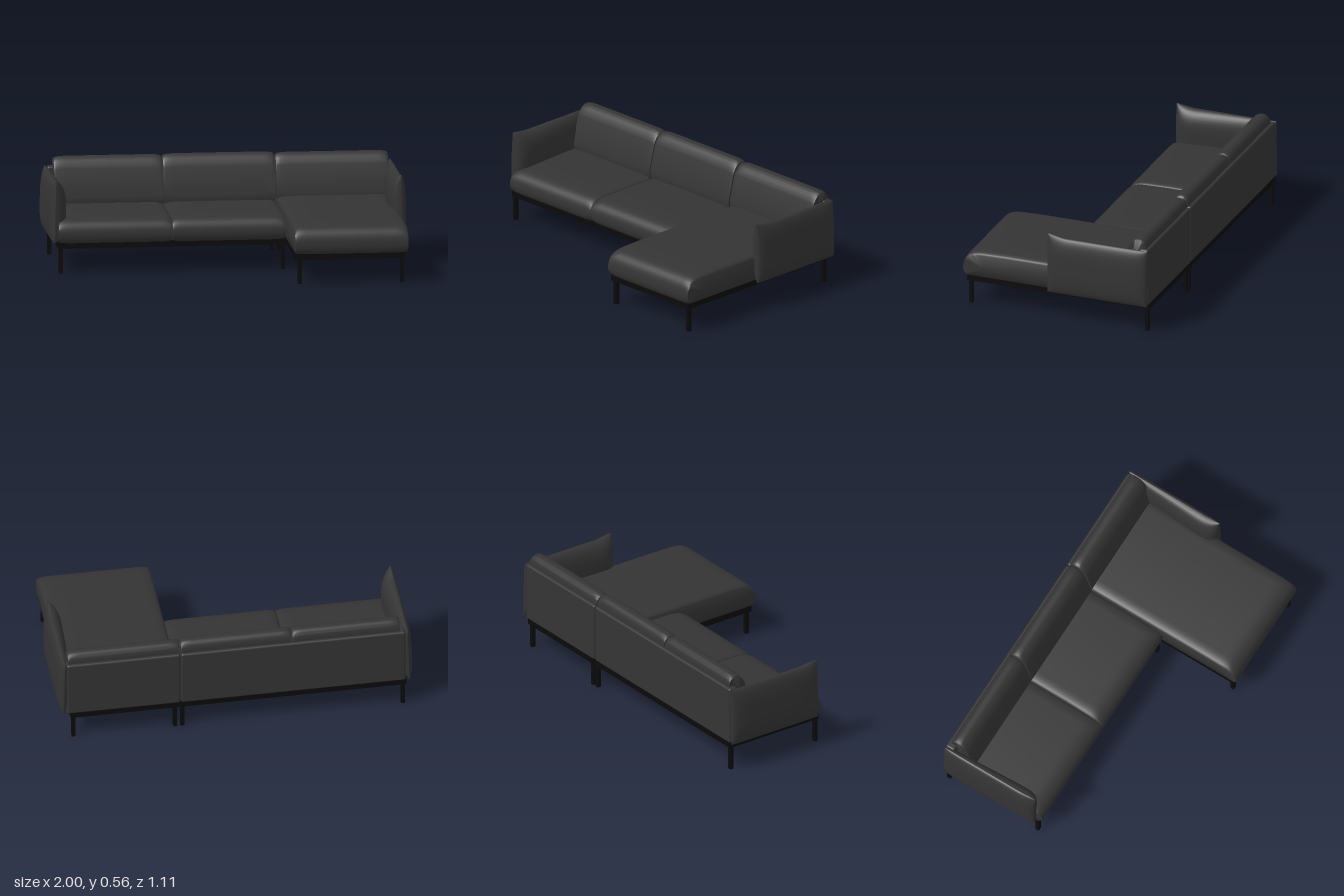
import * as THREE from 'three';
import { toCreasedNormals } from 'three/addons/utils/BufferGeometryUtils.js';
import { RoundedBoxGeometry } from 'three/addons/geometries/RoundedBoxGeometry.js';

export function createModel() {
  const model = new THREE.Group();
  model.name = 'cornerSofa';
  const fabric = new THREE.MeshStandardMaterial({ color: 0x343434 });
  fabric.name = 'charcoal fabric';
  const metal = new THREE.MeshStandardMaterial({ color: 0x0a0a0a });
  metal.name = 'black metal';

  function add(name, geometry, material, parent = model) {
    const mesh = new THREE.Mesh(geometry, material);
    mesh.name = name;
    parent.add(mesh);
    return mesh;
  }

  // Box given by its limits
  function box(name, [x0, x1], [y0, y1], [z0, z1], material, parent, radius = 0) {
    const s = [x1 - x0, y1 - y0, z1 - z0];
    const g = radius ? new RoundedBoxGeometry(...s, 3, radius) : new THREE.BoxGeometry(...s);
    add(name, g, material, parent).position.set((x0 + x1) / 2, (y0 + y1) / 2, (z0 + z1) / 2);
  }

  // Cushion: a side profile (z, y) swept along x, its height softening towards both ends
  function cushion(name, shape, x0, x1, middle, soft) {
    const ring = shape.getPoints(10);
    const n = ring.length;
    const ends = [0, 0.004, 0.012, 0.025, 0.042, 0.065];
    const stations = [...ends.map(d => x0 + d), ...ends.map(d => x1 - d).reverse()];
    const pos = [], index = [];
    for (const x of stations) {
      const e = Math.max(0, 1 - Math.min(x - x0, x1 - x) / 0.065);
      const s = 1 - soft * (1 - Math.sqrt(1 - e * e));
      for (const p of ring) pos.push(x, middle + (p.y - middle) * s, p.x);
    }
    const last = stations.length - 1;
    for (let i = 0; i < last; i++) {
      for (let j = 0; j < n; j++) {
        const k = (j + 1) % n, a = i * n, b = a + n;
        index.push(a + j, b + j, b + k, a + j, b + k, a + k);
      }
    }
    // End caps
    const cz = ring.reduce((sum, p) => sum + p.x, 0) / n;
    const c = pos.length / 3;
    pos.push(x0, middle, cz, x1, middle, cz);
    for (let j = 0; j < n; j++) {
      const k = (j + 1) % n;
      index.push(c, j, k, c + 1, last * n + k, last * n + j);
    }
    const g = new THREE.BufferGeometry();
    g.setAttribute('position', new THREE.Float32BufferAttribute(pos, 3));
    g.setIndex(index);
    add(name, toCreasedNormals(g, 0.8), fabric);
  }

  function seatProfile(front, top) {
    const b = 0.166, s = new THREE.Shape();
    s.moveTo(-0.51, b);
    s.lineTo(front - 0.025, b);
    s.bezierCurveTo(front - 0.008, b + 0.005, front, b + 0.03, front, b + 0.05);
    s.bezierCurveTo(front, top - 0.035, front - 0.03, top - 0.005, front - 0.12, top - 0.003);
    s.lineTo(front - 0.25, top);
    s.lineTo(-0.51, top);
    return s;
  }

  function backProfile(top) {
    const s = new THREE.Shape();
    s.moveTo(-0.52, 0.28);
    s.lineTo(-0.4, 0.28);
    s.quadraticCurveTo(-0.388, 0.31, -0.395, 0.35);
    s.lineTo(-0.428, 0.5);
    s.bezierCurveTo(-0.445, top - 0.02, -0.465, top, -0.49, top);
    s.bezierCurveTo(-0.52, top, -0.538, top - 0.015, -0.538, 0.5);
    s.lineTo(-0.53, 0.4);
    return s;
  }

  // Seat and back cushions
  const bays = [
    { x0: -0.952, x1: -0.318, front: 0.075, seatTop: 0.31, b0: -0.925, b1: -0.321, backTop: 0.563 },
    { x0: -0.316, x1: 0.314, front: 0.075, seatTop: 0.31, b0: -0.314, b1: 0.308, backTop: 0.565 },
    { x0: 0.316, x1: 0.948, front: 0.555, seatTop: 0.329, b0: 0.317, b1: 0.945, backTop: 0.56 },
  ];
  bays.forEach((b, i) => {
    const kind = i === 2 ? 'chaise' : 'sofa';
    cushion(kind + 'SeatCushion', seatProfile(b.front, b.seatTop), b.x0, b.x1, 0.225, 0.22);
    cushion(kind + 'BackCushion', backProfile(b.backTop), b.b0, b.b1, 0.42, 0.09);
  });

  // Upholstered back panels
  box('sofaBackPanel', [-0.955, 0.311], [0.165, 0.502], [-0.556, -0.5], fabric, model, 0.012);
  box('chaiseBackPanel', [0.315, 0.955], [0.165, 0.502], [-0.556, -0.5], fabric, model, 0.012);

  // One padded face of an armrest, bulging away from the seam around its edge
  function armFace(side, bulge) {
    const g = new THREE.PlaneGeometry(1, 1, 32, 24);
    const p = g.attributes.position;
    for (let i = 0; i < p.count; i++) {
      const u = p.getX(i) * 2, v = p.getY(i) * 2;
      // crowd rows towards the seam for a round edge
      const a = Math.sin(u * Math.PI / 2), b = Math.sin(v * Math.PI / 2);
      // a runs front to back on the outer face, back to front on the inner
      const f = -a * side;
      const z = -0.258 + 0.298 * f;
      const forward = Math.max(0, (z + 0.06) / 0.1);
      const y = 0.3325 + 0.1675 * b + 0.015 * forward * Math.max(0, b) ** 4;
      const puff = Math.sqrt((1 - Math.abs(a) ** 8) * (1 - Math.abs(b) ** 3));
      const seam = 0.97 - 0.005 * b;
      p.setXYZ(i, seam + side * bulge(f) * puff, y, z);
    }
    g.computeVertexNormals();
    return g;
  }

  // Armrests, mirrored
  for (const s of [1, -1]) {
    const arm = new THREE.Group();
    arm.name = s > 0 ? 'leftArmrest' : 'rightArmrest';
    const outer = armFace(1, () => 0.031);
    const inner = armFace(-1, f => 0.058 + 0.018 * f);
    for (const [name, g] of [['armOuterPad', outer], ['armInnerPad', inner]]) {
      if (s < 0) {
        g.scale(-1, 1, 1);
        const ix = g.index;
        for (let i = 0; i < ix.count; i += 3) {
          const t = ix.getX(i);
          ix.setX(i, ix.getX(i + 1));
          ix.setX(i + 1, t);
        }
        g.computeVertexNormals();
      }
      add(name, g, fabric, arm);
    }
    model.add(arm);
  }

  // Bases: four rails, a recessed underside and four square legs
  function base(name, x0, x1, z0, z1, legXs, legZs) {
    const group = new THREE.Group();
    group.name = name;
    const w = 0.03, h = [0.138, 0.17];
    box('frontRail', [x0, x1], h, [z1 - w, z1], metal, group);
    box('backRail', [x0, x1], h, [z0, z0 + w], metal, group);
    box('sideRail', [x0, x0 + w], h, [z0 + w, z1 - w], metal, group);
    box('sideRail', [x1 - w, x1], h, [z0 + w, z1 - w], metal, group);
    box('undersidePanel', [x0 + w, x1 - w], [0.152, 0.168], [z0 + w, z1 - w], fabric, group);
    for (const x of legXs) for (const z of legZs) {
      box('leg', [x - 0.011, x + 0.011], [0, 0.14], [z - 0.011, z + 0.011], metal, group);
    }
    model.add(group);
  }
  base('sofaBase', -0.957, 0.316, -0.555, 0.056, [-0.94, 0.303], [-0.536, 0.043]);
  base('chaiseBase', 0.319, 0.935, -0.555, 0.537, [0.344, 0.916], [-0.536, 0.517]);

  return model;
}
